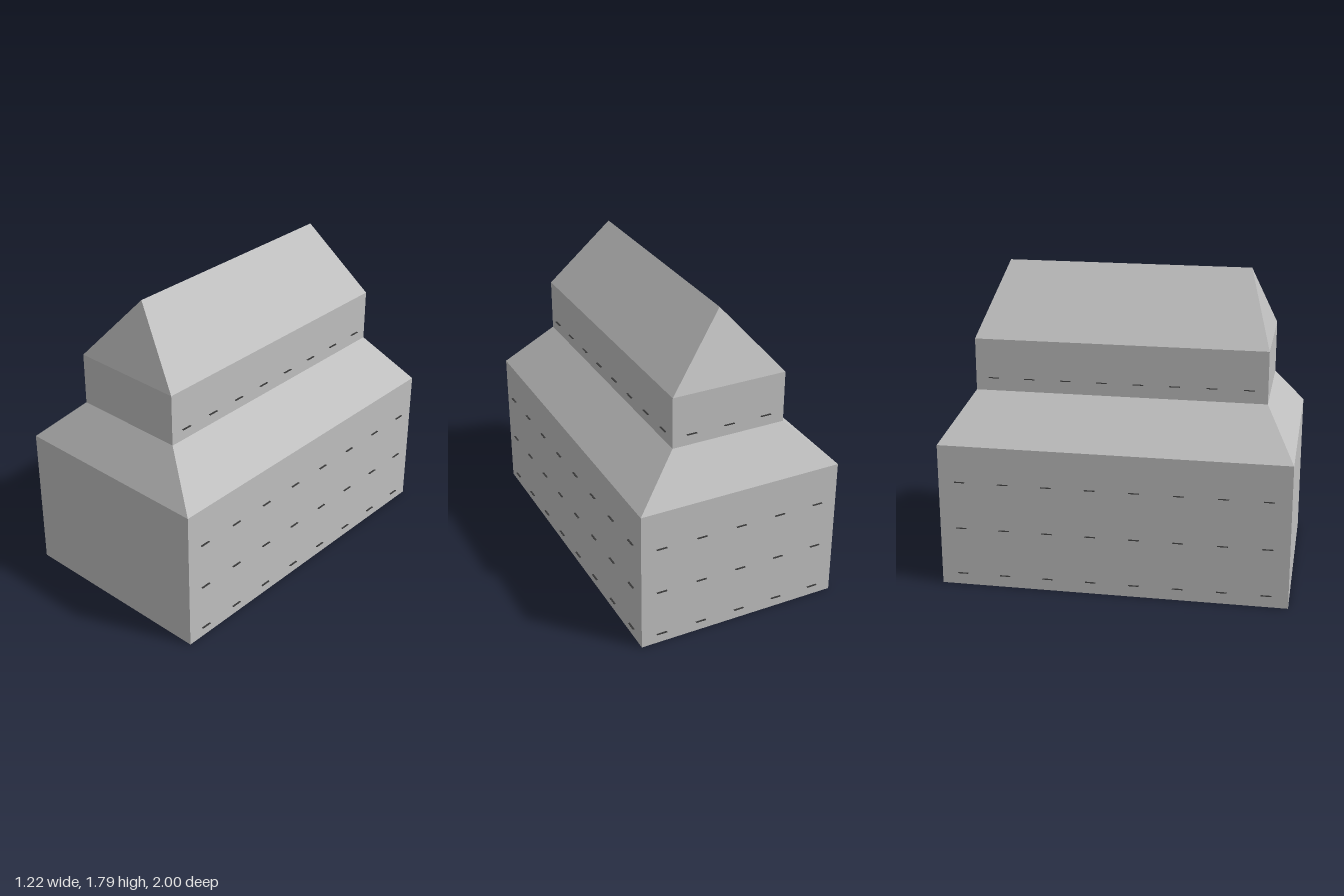
import * as THREE from 'three';

const wallGrey = new THREE.MeshStandardMaterial({ color: 0xc0c0c0, side: THREE.DoubleSide });
wallGrey.name = 'wall grey';
wallGrey.flatShading = true;
const ledgeDark = new THREE.MeshStandardMaterial({ color: 0x383838, side: THREE.DoubleSide });
ledgeDark.name = 'dark ledge';

const CENTRE_Z = 0.005;

// Open band of four faces joining two rectangles [height, half width, half depth]
function band(name, [y0, w0, d0], [y1, w1, d1]) {
  const corners = [[1, 1], [1, -1], [-1, -1], [-1, 1]];
  const positions = [];
  corners.forEach(([sx, sz], i) => {
    const [tx, tz] = corners[(i + 1) % 4];
    const a = [sx * w0, y0, sz * d0], b = [tx * w0, y0, tz * d0];
    const c = [tx * w1, y1, tz * d1], d = [sx * w1, y1, sz * d1];
    // a ridge has zero width, so its end faces are triangles
    positions.push(...a, ...b, ...c);
    if (w1 > 0 || sx === tx) positions.push(...a, ...c, ...d);
  });
  const geometry = new THREE.BufferGeometry();
  geometry.setAttribute('position', new THREE.Float32BufferAttribute(positions, 3));
  geometry.computeVertexNormals();
  const mesh = new THREE.Mesh(geometry, wallGrey);
  mesh.name = name;
  mesh.position.z = CENTRE_Z;
  return mesh;
}

// Row of small flat ledges along one wall
function ledgeRow(name, count, spacing, place, alongX) {
  const row = new THREE.Group();
  row.name = name;
  const size = alongX ? [0.06, 0.003, 0.01] : [0.01, 0.003, 0.06];
  const geometry = new THREE.BoxGeometry(...size);
  for (let i = 0; i < count; i++) {
    const t = (i - (count - 1) / 2) * spacing;
    const ledge = new THREE.Mesh(geometry, ledgeDark);
    ledge.name = 'windowLedge';
    ledge.position.set(...place(t));
    row.add(ledge);
  }
  return row;
}

export function createModel() {
  const model = new THREE.Group();
  model.name = 'building';

  // Walls and roofs, open underneath
  const tiers = [[0, 0.6, 0.995], [0.845, 0.6, 0.995], [1.1, 0.335, 0.828], [1.4, 0.335, 0.828], [1.79, 0, 0.695]];
  ['lowerWalls', 'lowerRoof', 'upperWalls', 'upperRoof'].forEach((name, i) =>
    model.add(band(name, tiers[i], tiers[i + 1])));

  // Ledges on both long sides and the back; the front is plain
  const floors = [
    { y: 0.06, w: 0.6, d: 0.995, sideStep: 0.249, backCount: 5, backStep: 0.24 },
    { y: 0.34, w: 0.6, d: 0.995, sideStep: 0.249, backCount: 5, backStep: 0.24 },
    { y: 0.62, w: 0.6, d: 0.995, sideStep: 0.249, backCount: 5, backStep: 0.24 },
    { y: 1.165, w: 0.335, d: 0.828, sideStep: 0.207, backCount: 3, backStep: 0.223 },
  ];
  for (const { y, w, d, sideStep, backCount, backStep } of floors) {
    model.add(ledgeRow('leftLedges', 8, sideStep, t => [w + 0.005, y, t + CENTRE_Z], false));
    model.add(ledgeRow('rightLedges', 8, sideStep, t => [-w - 0.005, y + 0.01, t + CENTRE_Z], false));
    model.add(ledgeRow('backLedges', backCount, backStep, t => [t, y, CENTRE_Z - d - 0.005], true));
  }
  return model;
}
